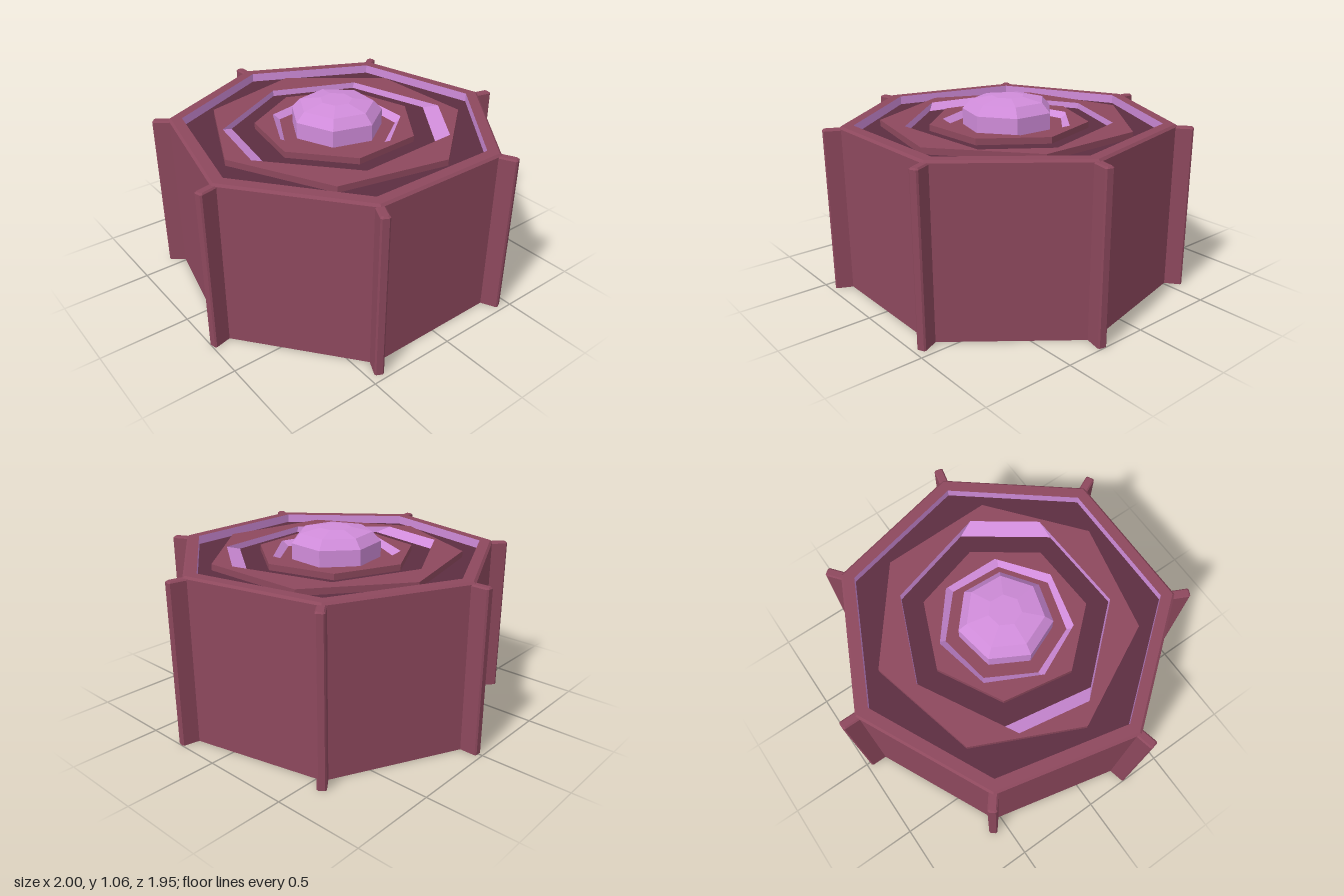
import * as THREE from 'three';

const SIDES = 7;
const STEP = (Math.PI * 2) / SIDES;
const rad = THREE.MathUtils.degToRad;

// Regular heptagon of corners at height y, clockwise from the back as seen from above
function hept(r, y, turn = 0) {
  return Array.from({ length: SIDES }, (_, k) => {
    const a = rad(turn) + k * STEP;
    return [r * Math.sin(a), y, -r * Math.cos(a)];
  });
}

// Heptagon given by the distance of each edge from the centre
function heptFromEdges(offsets, y, turn) {
  return offsets.map((o1, k) => {
    const o0 = offsets[(k + SIDES - 1) % SIDES];
    const a0 = rad(turn) + (k - 0.5) * STEP;
    const a1 = a0 + STEP;
    const det = Math.sin(a1 - a0);
    // intersection of the two neighbouring edge lines
    const x = (o1 * Math.cos(a0) - o0 * Math.cos(a1)) / det;
    const n = (o0 * Math.sin(a1) - o1 * Math.sin(a0)) / det;
    return [x, y, -n];
  });
}

// Flat-shaded skin through successive rings; up the outside, then inward over the top
function loft(rings) {
  const pos = [];
  for (let i = 0; i + 1 < rings.length; i++) {
    const a = rings[i], b = rings[i + 1], n = a.length;
    for (let k = 0; k < n; k++) {
      const j = (k + 1) % n;
      pos.push(...a[k], ...b[k], ...b[j], ...a[k], ...b[j], ...a[j]);
    }
  }
  const g = new THREE.BufferGeometry();
  g.setAttribute('position', new THREE.Float32BufferAttribute(pos, 3));
  g.computeVertexNormals();
  return g;
}

// Outline of a corner fin at the back corner, shrunk by inset
function finRing(y, inset) {
  const w = 0.025 - inset, out = -1.021 + inset, c = 0.008;
  return [[-w, -0.9], [-w, out + c], [-w + c, out], [w - c, out], [w, out + c], [w, -0.9]]
    .map(([x, z]) => [x, y, z]);
}

export function createModel() {
  const wine = new THREE.MeshStandardMaterial({ color: 0x8d485d });
  wine.name = 'wine';
  const dark = new THREE.MeshStandardMaterial({ color: 0x5c2d41 });
  dark.name = 'dark wine';
  const orchid = new THREE.MeshStandardMaterial({ color: 0xd08cda });
  orchid.name = 'orchid';

  const model = new THREE.Group();
  model.name = 'heptagonalDrum';
  const add = (name, rings, material) => {
    const mesh = new THREE.Mesh(loft(rings), material);
    mesh.name = name;
    mesh.position.z = 0.046;
    model.add(mesh);
    return mesh;
  };

  const floorY = 0.89, ringY = 0.925;

  // Drum body with bevelled rim
  add('body', [hept(0, 0), hept(0.936, 0), hept(0.936, 0.928), hept(0.922, 0.94), hept(0.857, 0.94)], wine);
  add('rimInnerWall', [hept(0.857, 0.94), hept(0.857, floorY)], orchid);
  add('recessFloor', [hept(0.857, floorY), hept(0, floorY)], dark);

  // Outer ring, turned, with two edges of its opening pushed outward
  const a = 0.525;
  const opening = heptFromEdges([a, a + 0.006, 0.602, a, a + 0.004, 0.593, a], ringY, -3);
  add('outerRing', [hept(0.72, floorY, 12), hept(0.72, ringY, 12), opening], wine);
  add('outerRingInnerWall', [opening, hept(0.58, floorY + 0.001, -3)], orchid);

  // Inner ring with sloping opening
  add('innerRing', [hept(0.452, floorY, -3), hept(0.452, ringY, -3), hept(0.378, ringY, 16)], wine);
  add('innerRingInnerWall', [hept(0.378, ringY, 16), hept(0.335, 0.893, 16)], orchid);
  add('innerFloor', [hept(0.335, 0.893, 16), hept(0, 0.893, 16)], wine);

  // Faceted gem in the middle
  add('gem', [hept(0.258, 0.893, 16), hept(0.258, 0.985, 16), hept(0.21, 1.037, 16),
    hept(0.09, 1.06, 16), hept(0, 1.06, 16)], orchid);

  // Fins on the corners
  for (let k = 0; k < SIDES; k++) {
    const top = finRing(0.93, 0.008);
    const cap = (y) => finRing(y, 0).map(() => [0, y, -0.95]);
    const fin = add('cornerFin', [cap(0), finRing(0, 0), finRing(0.922, 0), top, cap(0.93)], wine);
    fin.rotation.y = -k * STEP;
  }
  return model;
}
